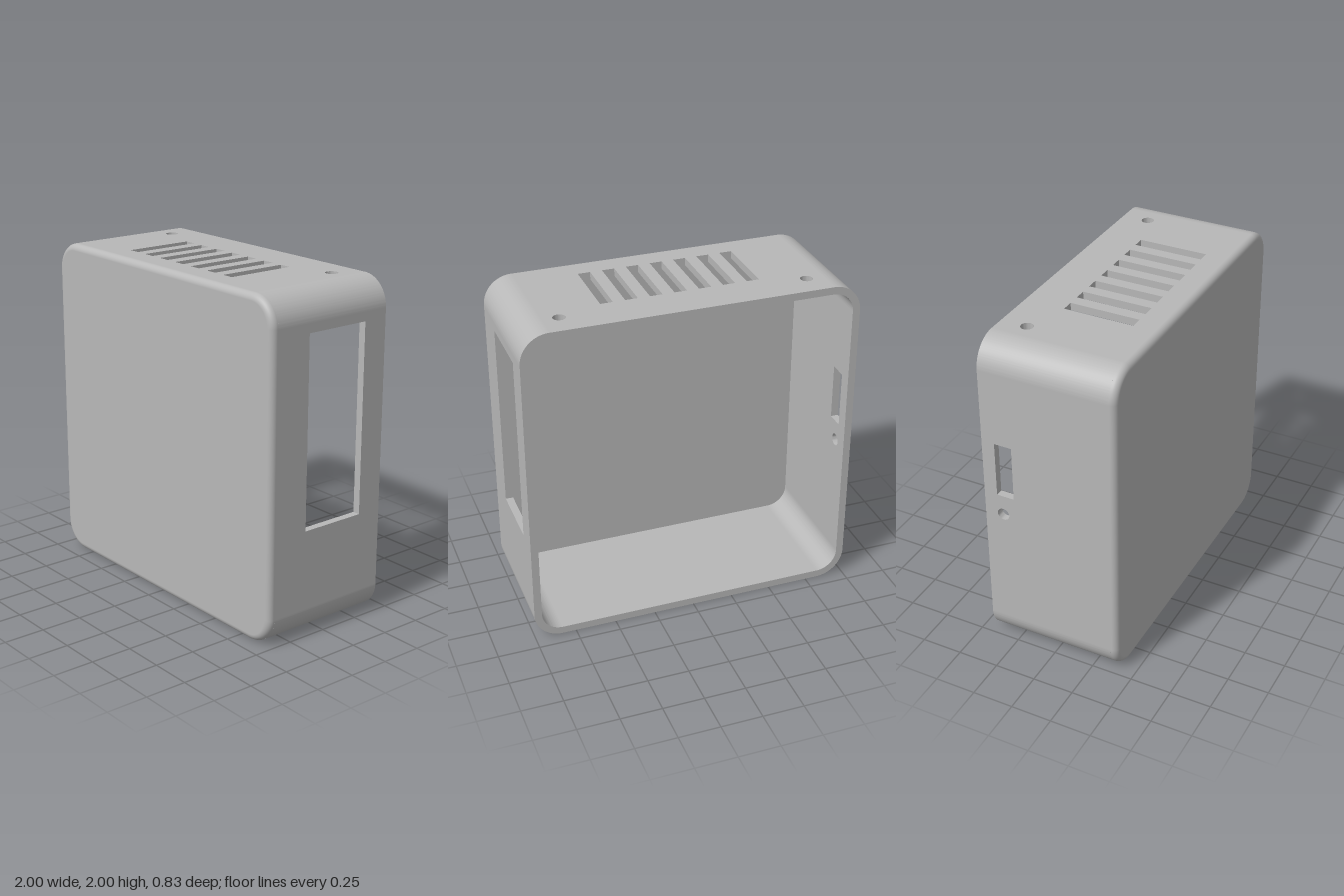
import * as THREE from 'three';
import { toCreasedNormals } from 'three/addons/utils/BufferGeometryUtils.js';

const R = 0.17;        // corner radius of the case
const T = 0.045;       // wall thickness
const F = 0.04;        // rounding of the front edge
const BACK = -0.415, FRONT = 0.415;
const INNER = FRONT - T;
const C = 1 - R;       // corner centre offset

const grey = new THREE.MeshStandardMaterial({ color: 0xb8b8b8 });
grey.name = 'plain grey';

function mesh(name, geometry) {
  const m = new THREE.Mesh(geometry, grey);
  m.name = name;
  return m;
}

function rect(u0, u1, v0, v1, Type = THREE.Path) {
  const p = new Type();
  p.moveTo(u0, v0);
  p.lineTo(u1, v0);
  p.lineTo(u1, v1);
  p.lineTo(u0, v1);
  p.closePath();
  return p;
}

function circle(u, v, r) {
  return new THREE.Path().absarc(u, v, r, 0, Math.PI * 2, true);
}

// Flat wall with cut-outs, made as a top wall and turned about the case centre
function wall(name, angle, holes = []) {
  const shape = rect(-C, C, BACK, INNER, THREE.Shape);
  shape.holes.push(...holes);
  const g = new THREE.ExtrudeGeometry(shape, { depth: T, bevelEnabled: false, curveSegments: 16 });
  g.rotateX(Math.PI / 2);
  g.translate(0, 1, 0);
  g.rotateZ(angle);
  return mesh(name, toCreasedNormals(g, 0.5));
}

// Quarter-round corner of the wall
function corner(name, angle) {
  const s = new THREE.Shape();
  s.absarc(C, C, R, 0, Math.PI / 2, false);
  s.absarc(C, C, R - T, Math.PI / 2, 0, true);
  s.closePath();
  const g = new THREE.ExtrudeGeometry(s, { depth: INNER - BACK, bevelEnabled: false, curveSegments: 20 });
  g.translate(0, 0, BACK);
  g.rotateZ(angle);
  return mesh(name, toCreasedNormals(g, 0.5));
}

// Rounded square outline: point and outward direction at each step
function outline(inset, steps = 20) {
  const points = [];
  for (let q = 0; q < 4; q++) {
    const mid = Math.PI / 4 + q * Math.PI / 2;
    const cx = C * Math.SQRT2 * Math.cos(mid), cy = C * Math.SQRT2 * Math.sin(mid);
    for (let i = 0; i <= steps; i++) {
      const a = (q + i / steps) * Math.PI / 2;
      const nx = Math.cos(a), ny = Math.sin(a);
      points.push({ x: cx + (R - inset) * nx, y: cy + (R - inset) * ny, nx, ny });
    }
  }
  return points;
}

// Smooth rounded band around the front face
function frontEdge() {
  const rows = [{ inset: 0, z: INNER, t: 0 }];
  for (let i = 0; i <= 8; i++) {
    const t = (i / 8) * Math.PI / 2;
    rows.push({ inset: F * (1 - Math.cos(t)), z: FRONT - F + F * Math.sin(t), t });
  }
  const position = [], normal = [], index = [];
  let n = 0;
  rows.forEach((row, r) => {
    const ring = outline(row.inset);
    n = ring.length;
    ring.forEach((p, i) => {
      position.push(p.x, p.y, row.z);
      normal.push(p.nx * Math.cos(row.t), p.ny * Math.cos(row.t), Math.sin(row.t));
      if (r > 0) {
        const j = (i + 1) % n, a = (r - 1) * n, b = r * n;
        index.push(a + i, a + j, b + j, a + i, b + j, b + i);
      }
    });
  });
  const g = new THREE.BufferGeometry();
  g.setAttribute('position', new THREE.Float32BufferAttribute(position, 3));
  g.setAttribute('normal', new THREE.Float32BufferAttribute(normal, 3));
  g.setIndex(index);
  return g;
}

function roundedFace(inset) {
  return new THREE.ShapeGeometry(new THREE.Shape(outline(inset).map(p => new THREE.Vector2(p.x, p.y))));
}

export function createModel() {
  const model = new THREE.Group();
  model.name = 'enclosure';
  const shell = new THREE.Group();
  shell.name = 'shell';
  shell.position.y = 1;
  model.add(shell);

  // Top wall: seven vents and two screw holes
  const vents = [circle(-0.73, -0.255, 0.037), circle(0.73, -0.255, 0.037)];
  for (let i = -3; i <= 3; i++) {
    const x = i * 0.145;
    vents.push(rect(x - 0.037, x + 0.037, -0.172, 0.25));
  }
  shell.add(wall('topWall', 0, vents));
  shell.add(wall('bottomWall', Math.PI));

  // Left wall: large window; right wall: port slot and small round hole
  shell.add(wall('leftWall', -Math.PI / 2, [rect(-0.775, 0.355, -0.26, 0.15)]));
  shell.add(wall('rightWall', Math.PI / 2, [rect(0.04, 0.38, -0.335, -0.228), circle(-0.085, -0.3, 0.037)]));

  ['topLeftCorner', 'topRightCorner', 'bottomRightCorner', 'bottomLeftCorner']
    .forEach((name, i) => shell.add(corner(name, i * Math.PI / 2)));

  // Closed front with rounded edge
  shell.add(mesh('frontEdge', frontEdge()));
  const face = mesh('frontFace', roundedFace(F));
  face.position.z = FRONT;
  shell.add(face);
  const inside = mesh('frontInside', roundedFace(0));
  inside.rotation.y = Math.PI;
  inside.position.z = INNER;
  shell.add(inside);

  return model;
}
